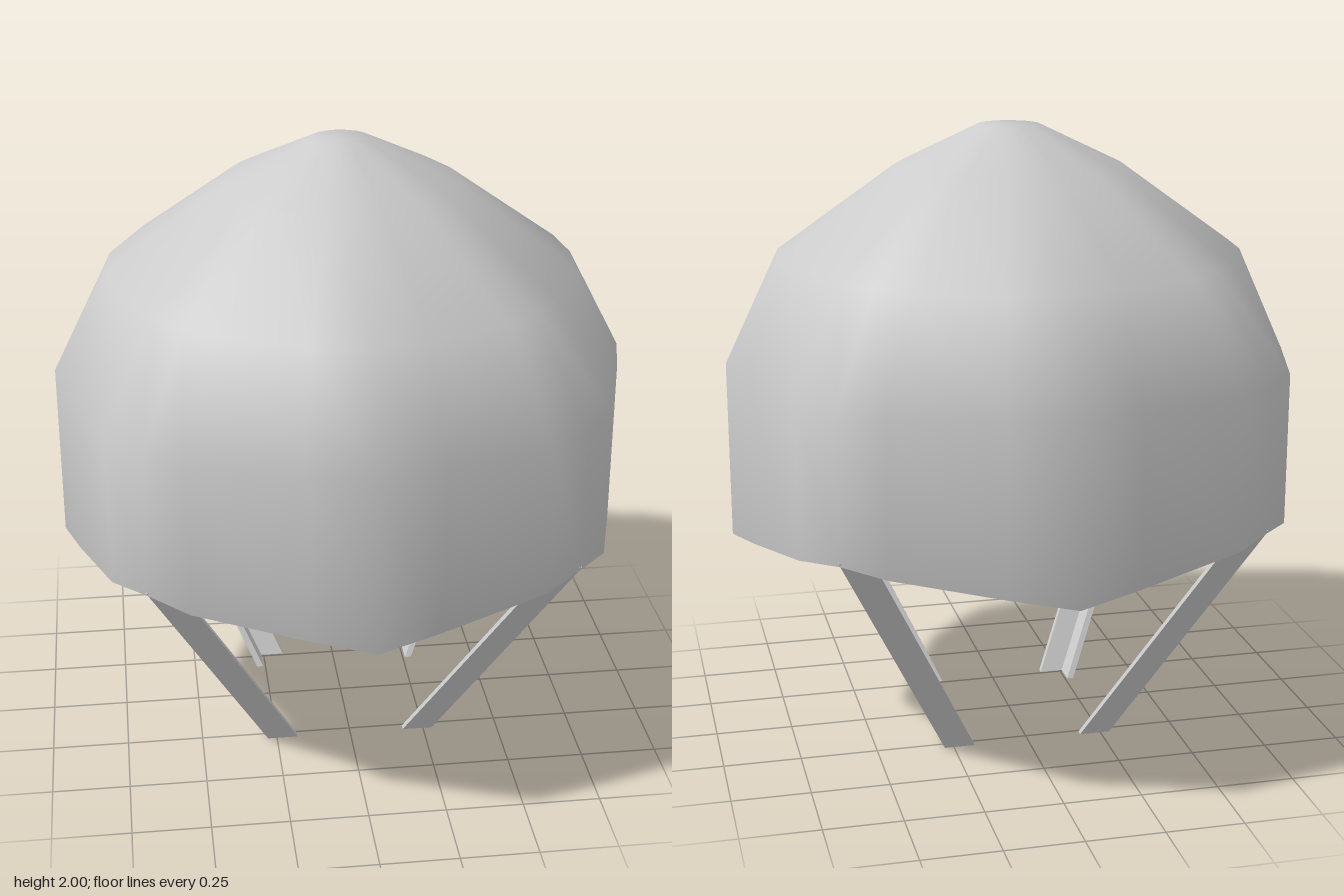
import * as THREE from 'three';

const grey = () => new THREE.MeshStandardMaterial({ color: 0xcccccc });

// One quarter of the rounded-square wall: x, z and height of the wavy rim
const QUARTER = [
  [0, 0.92, 0.7], [0.2, 0.87, 0.73], [0.54, 0.77, 0.785],
  [0.665, 0.665, 0.8], [0.77, 0.54, 0.785], [0.87, 0.2, 0.73],
];

// Full outline, made by turning the quarter four times
function wallOutline() {
  const points = [];
  for (let q = 0; q < 4; q++) {
    for (const [x, z, rim] of QUARTER) {
      let px = x, pz = z;
      for (let i = 0; i < q; i++) [px, pz] = [pz, -px];
      points.push({ x: px, z: pz, rim });
    }
  }
  return points;
}

// Hollow dome: rows run from the crown down the outside, round the rim and up the inside
function domeGeometry() {
  const outline = wallOutline();
  const circle = (r, y) => outline.map((p) => {
    const k = r / Math.hypot(p.x, p.z);
    return [p.x * k, y, p.z * k];
  });
  const wall = (scale, height) => outline.map((p) => [p.x * scale, height ?? p.rim, p.z * scale]);
  const rows = [
    circle(0, 2), circle(0.1, 2), circle(0.37, 1.87), circle(0.745, 1.6),
    wall(1, 1.27), wall(1), wall(0.915), wall(0.915, 1.23),
    circle(0.68, 1.53), circle(0.34, 1.79), circle(0.09, 1.92), circle(0, 1.92),
  ];
  const n = outline.length;
  const index = [];
  for (let r = 0; r < rows.length - 1; r++) {
    for (let i = 0; i < n; i++) {
      const a = r * n + i, a2 = r * n + (i + 1) % n;
      index.push(a, a + n, a2 + n, a, a2 + n, a2);
    }
  }
  const geometry = new THREE.BufferGeometry();
  geometry.setAttribute('position', new THREE.Float32BufferAttribute(rows.flat(2), 3));
  geometry.setIndex(index);
  geometry.computeVertexNormals();
  return geometry;
}

// Angle-section leg, leaning outwards as it rises
function legGeometry() {
  const outer = 0.28, flange = 0.1, thick = 0.022, height = 0.81, lean = 0.48;
  const tip = outer - flange, inner = outer - thick;
  const section = new THREE.Shape([
    [outer, -outer], [outer, -tip], [inner, -tip],
    [inner, -inner], [tip, -inner], [tip, -outer],
  ].map(([x, y]) => new THREE.Vector2(x, y)));
  const geometry = new THREE.ExtrudeGeometry(section, { depth: height, bevelEnabled: false });
  geometry.rotateX(-Math.PI / 2);
  const p = geometry.attributes.position;
  for (let i = 0; i < p.count; i++) {
    const shift = lean * p.getY(i);
    p.setXYZ(i, p.getX(i) + shift, p.getY(i), p.getZ(i) + shift);
  }
  geometry.computeVertexNormals();
  return geometry;
}

export function createModel() {
  const model = new THREE.Group();
  model.name = 'domeOnLegs';

  const dome = new THREE.Mesh(domeGeometry(), grey());
  dome.name = 'dome';
  model.add(dome);

  // Four legs, one below each corner
  const geometry = legGeometry();
  ['frontLeftLeg', 'backLeftLeg', 'backRightLeg', 'frontRightLeg'].forEach((name, i) => {
    const leg = new THREE.Mesh(geometry, grey());
    leg.name = name;
    leg.rotation.y = i * Math.PI / 2;
    model.add(leg);
  });
  return model;
}
